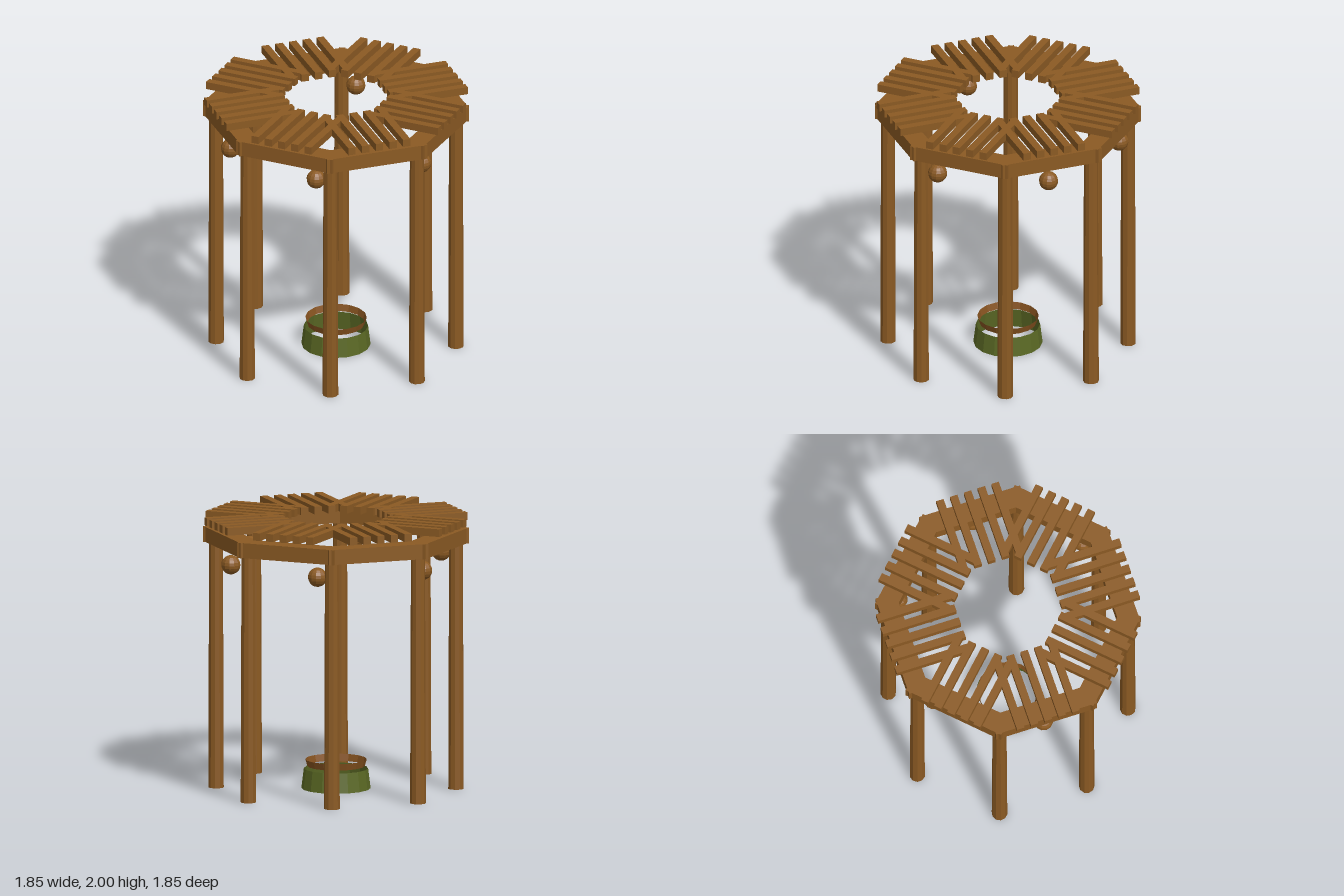
import * as THREE from 'three';

export function createModel() {
  const model = new THREE.Group();
  model.name = 'pergola';

  const wood = new THREE.MeshStandardMaterial({ color: 0x8b5a23, flatShading: true, side: THREE.DoubleSide });
  wood.name = 'wood';
  const green = new THREE.MeshStandardMaterial({ color: 0x5a6824, flatShading: true, side: THREE.DoubleSide });
  green.name = 'olive green';
  const rust = new THREE.MeshStandardMaterial({ color: 0x85521f, flatShading: true, side: THREE.DoubleSide });
  rust.name = 'reddish wood';

  const add = (parent, name, geometry, material, x, y, z) => {
    const mesh = new THREE.Mesh(geometry, material);
    mesh.name = name;
    mesh.position.set(x, y, z);
    parent.add(mesh);
    return mesh;
  };

  const postGeo = new THREE.CylinderGeometry(0.051, 0.057, 1.8, 10, 1, true);
  const beamGeo = new THREE.BoxGeometry(0.77, 0.11, 0.15);
  const slatGeo = new THREE.BoxGeometry(0.056, 0.056, 0.56);

  // Eight identical bays: post, ring beam and five roof slats
  for (let i = 0; i < 8; i++) {
    const bay = new THREE.Group();
    bay.name = 'bay' + (i + 1);
    bay.rotation.y = i * Math.PI / 4;
    add(bay, 'post', postGeo, wood, 0.332, 0.9, 0.8);
    add(bay, 'beam', beamGeo, wood, 0, 1.855, 0.805);
    for (let j = -2; j <= 2; j++) {
      add(bay, 'roofSlat', slatGeo, wood, j * 0.105, 1.972, 0.645);
    }
    model.add(bay);
  }

  // Six hanging lanterns below the beams
  const lanternGeo = new THREE.SphereGeometry(0.07, 12, 10);
  for (let i = 0; i < 6; i++) {
    const a = i * Math.PI / 3;
    add(model, 'lantern', lanternGeo, wood, 0.81 * Math.cos(a), 1.685, 0.81 * Math.sin(a));
  }

  // Open planter with a floating rim above it
  add(model, 'planter', new THREE.CylinderGeometry(0.232, 0.25, 0.145, 16, 1, true), green, 0, 0.0725, 0);
  add(model, 'planterRim', new THREE.CylinderGeometry(0.222, 0.208, 0.05, 16, 1, true), rust, 0, 0.187, 0);

  return model;
}
